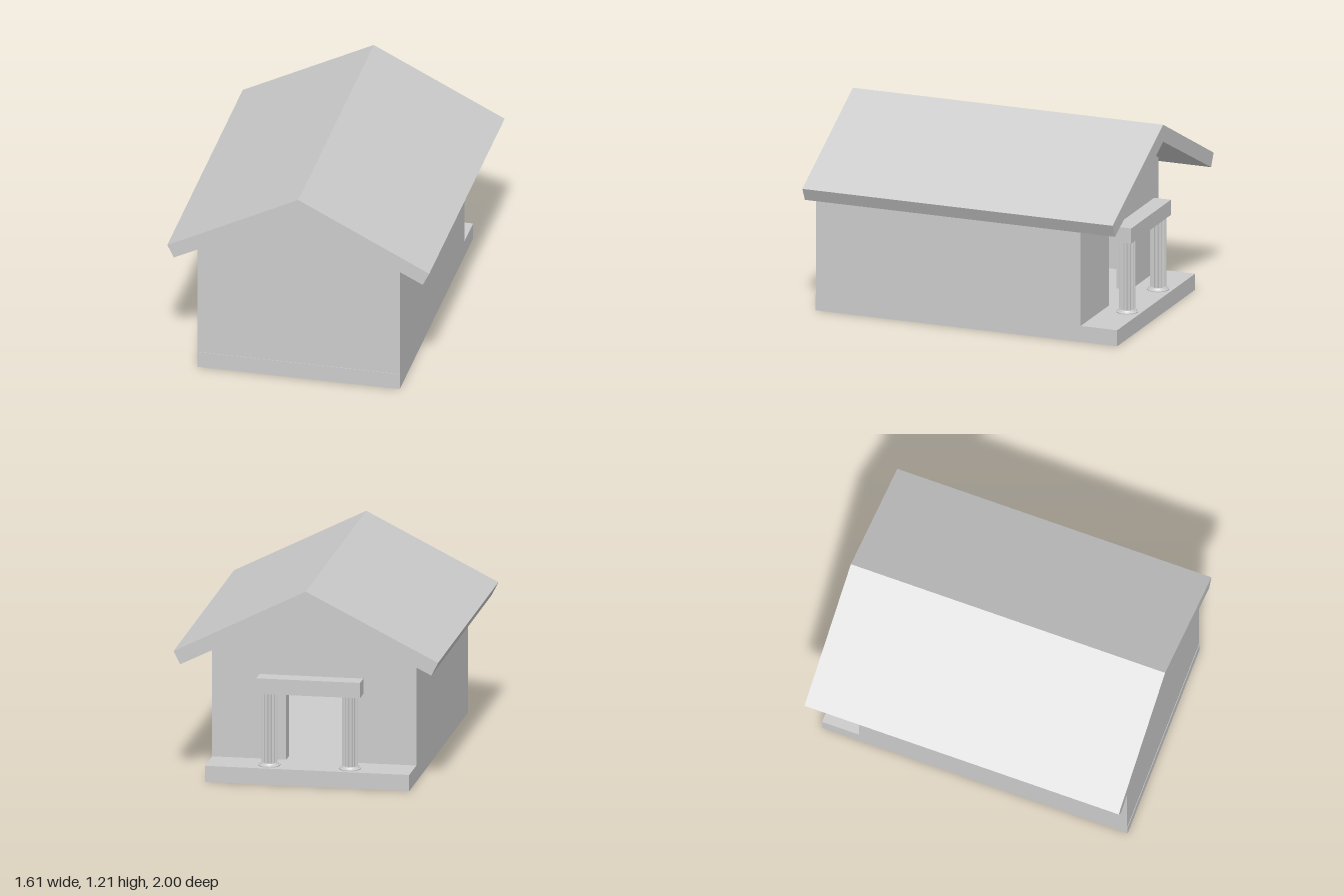
import * as THREE from 'three';

const material = new THREE.MeshStandardMaterial({ color: 0xcccccc, flatShading: true });
const HALF = 0.62, FLOOR = 0.1, EAVE = 0.8, PEAK = 1.107, WALL = 0.09;
const FRONT = 0.987, BACK = -0.72;

function add(parent, name, geometry, x = 0, y = 0, z = 0) {
  const mesh = new THREE.Mesh(geometry, material);
  mesh.name = name;
  mesh.position.set(x, y, z);
  parent.add(mesh);
  return mesh;
}

// Closed outline in x/y pushed along z from z0 to z1
function prism(points, z0, z1) {
  const shape = new THREE.Shape(points.map(([x, y]) => new THREE.Vector2(x, y)));
  return new THREE.ExtrudeGeometry(shape, { depth: z1 - z0, bevelEnabled: false }).translate(0, 0, z0);
}

// Shaft outline with scooped grooves around it
function flutedShaft(radius, height, flutes) {
  const steps = flutes * 4, points = [];
  for (let i = 0; i < steps; i++) {
    const a = (i / steps) * Math.PI * 2;
    const r = radius - [0, 0.005, 0.007, 0.005][i % 4];
    points.push([Math.cos(a) * r, Math.sin(a) * r]);
  }
  return prism(points, 0, height).rotateX(-Math.PI / 2);
}

function createColumn() {
  const column = new THREE.Group();
  column.name = 'column';
  add(column, 'columnShaft', flutedShaft(0.049, 0.45, 16));
  const profile = [[0, 0], [0.065, 0], [0.065, 0.006], [0.058, 0.011], [0.052, 0.02], [0, 0.02]];
  add(column, 'columnBase', new THREE.LatheGeometry(profile.map(([x, y]) => new THREE.Vector2(x, y)), 32));
  return column;
}

export function createModel() {
  const house = new THREE.Group();
  house.name = 'house';

  // Floor slab, reaching out under the porch
  add(house, 'floorSlab', new THREE.BoxGeometry(HALF * 2, FLOOR, 1.945), 0, FLOOR / 2, 0.0175);

  // Gable wall without openings
  const gable = [[-HALF, FLOOR], [HALF, FLOOR], [HALF, EAVE], [0, PEAK], [-HALF, EAVE]];
  add(house, 'plainGableWall', prism(gable, FRONT - WALL, FRONT));

  // Gable wall with the doorway cut up from the floor
  const doorGable = [
    [-HALF, FLOOR], [-0.17, FLOOR], [-0.17, 0.56], [0.17, 0.56], [0.17, FLOOR],
    [HALF, FLOOR], [HALF, EAVE], [0, PEAK], [-HALF, EAVE],
  ];
  add(house, 'doorGableWall', prism(doorGable, BACK, BACK + WALL));

  // Side walls, sloped on top to meet the roof
  const slopeTop = EAVE + (WALL / HALF) * (PEAK - EAVE);
  for (const s of [-1, 1]) {
    const side = [[s * HALF, FLOOR], [s * HALF, EAVE], [s * (HALF - WALL), slopeTop], [s * (HALF - WALL), FLOOR]];
    add(house, s > 0 ? 'leftWall' : 'rightWall', prism(side, BACK + WALL, FRONT - WALL));
  }

  // Pitched roof
  const roof = [[-0.763, 0.73], [0, PEAK], [0.763, 0.73], [0.803, 0.81], [0, 1.213], [-0.803, 0.81]];
  add(house, 'roof', prism(roof, -1, 1));

  // Porch: two fluted columns carrying a beam
  const porch = new THREE.Group();
  porch.name = 'porch';
  for (const s of [-1, 1]) {
    const column = createColumn();
    column.position.set(s * 0.245, FLOOR, -0.868);
    porch.add(column);
  }
  add(porch, 'porchBeam', new THREE.BoxGeometry(0.63, 0.095, 0.108), 0, 0.5975, -0.868);
  house.add(porch);

  return house;
}
